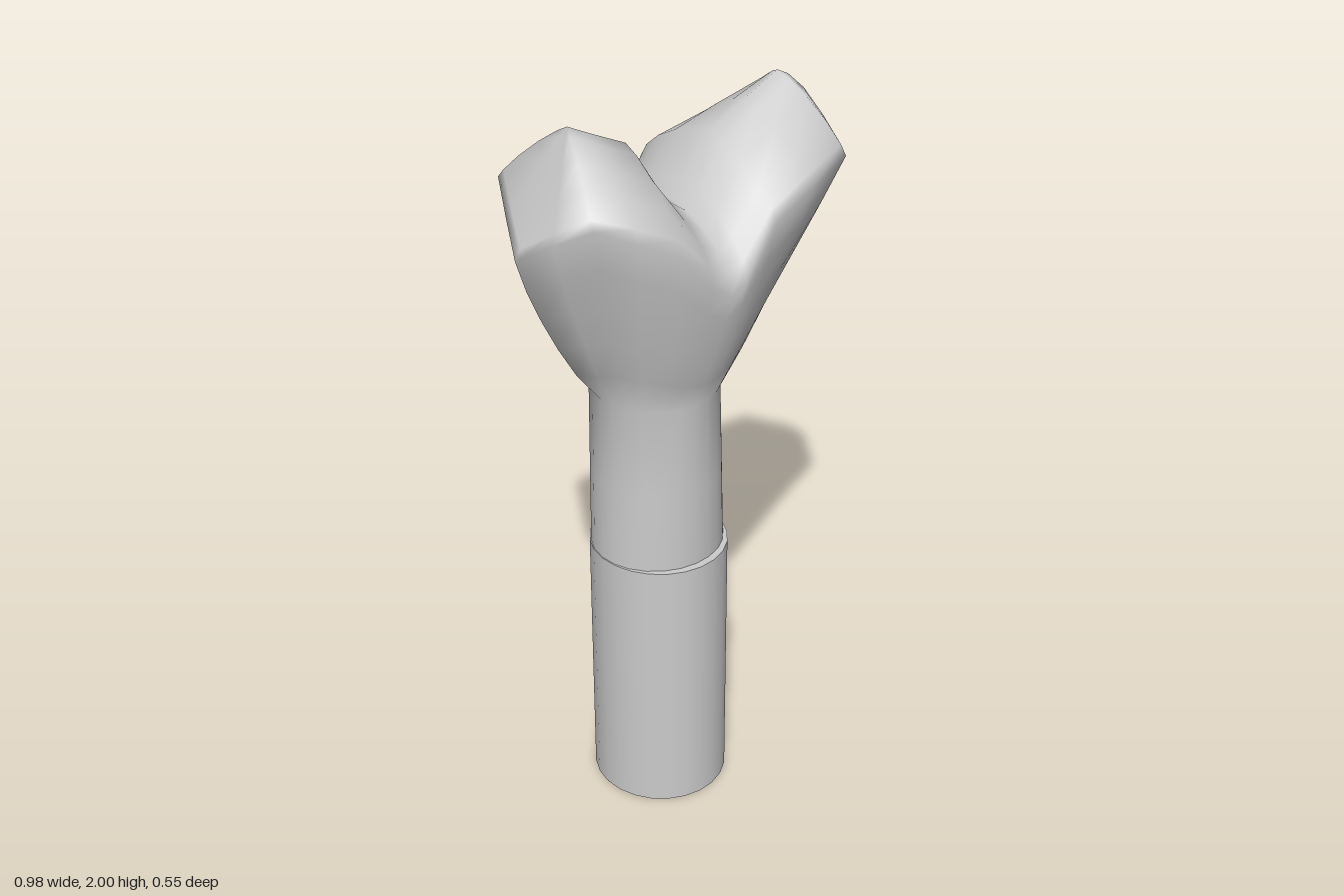
import * as THREE from 'three';
import { mergeVertices } from 'three/addons/utils/BufferGeometryUtils.js';

const material = new THREE.MeshStandardMaterial({ color: 0xcccccc, side: THREE.DoubleSide });

function addMesh(group, name, geometry) {
  const mesh = new THREE.Mesh(geometry, material);
  mesh.name = name;
  group.add(mesh);
  return mesh;
}

// Front columns from right tip to left tip:
// [rim x, rim y, rim z, ridge x, ridge y, crown power, flare power]
const COLUMNS = [
  [-0.488, 1.70, 0, -0.33, 2.0, 1, 1.2],
  [-0.446, 1.765, 0.10, -0.33, 2.0, 1.05, 1.12],
  [-0.40, 1.825, 0.202, -0.33, 2.0, 1.15, 1.03],
  [-0.30, 1.78, 0.24, -0.26, 1.965, 1.35, 1.1],
  [-0.20, 1.73, 0.275, -0.165, 1.92, 1.45, 1.2],
  [-0.10, 1.62, 0.264, -0.10, 1.79, 1.8, 1.15],
  [-0.045, 1.58, 0.262, -0.045, 1.75, 2, 1.1],
  [0.0, 1.61, 0.264, 0.0, 1.78, 1.8, 1.15],
  [0.08, 1.745, 0.273, 0.08, 1.89, 1.45, 1.2],
  [0.22, 1.785, 0.24, 0.19, 1.945, 1.4, 1.1],
  [0.355, 1.825, 0.205, 0.30, 2.0, 1.25, 1.03],
  [0.422, 1.79, 0.10, 0.30, 2.0, 1.35, 1.1],
  [0.488, 1.755, 0, 0.30, 2.0, 1.37, 1.17],
];

// Points of one column, from the shaft up over the rim to the ridge
function columnPoints([rimX, rimY, rimZ, ridgeX, ridgeY, crown, flare], k) {
  const steps = 5;
  const angle = Math.PI * (1 - k / (COLUMNS.length - 1));
  const cos = Math.cos(angle), sin = k % (COLUMNS.length - 1) ? Math.sin(angle) : 0;
  const neckX = -0.085 + 0.17 * cos, neckY = 1.25, neckZ = 0.172 * sin;
  const points = [
    [-0.08 + 0.182 * cos, 0.74, 0.174 * sin],
    [-0.0825 + 0.176 * cos, 1.0, 0.173 * sin],
  ];
  // flare from neck to rim
  for (let i = 0; i <= steps; i++) {
    const v = i / steps;
    const h = (1 - (1 - v) ** flare) ** (1 / flare);
    points.push([neckX + (rimX - neckX) * h, neckY + (rimY - neckY) * v, neckZ + (rimZ - neckZ) * h]);
  }
  // crown from rim to ridge
  for (let i = steps - 1; i >= 0; i--) {
    const a = (i / steps) * Math.PI / 2;
    const s = Math.sin(a) ** (2 / crown), c = Math.cos(a) ** (2 / crown);
    points.push([ridgeX + (rimX - ridgeX) * s, rimY + (ridgeY - rimY) * c, rimZ * s]);
  }
  return points;
}

function forkGeometry() {
  const front = COLUMNS.map(columnPoints);
  const back = front.slice(1, -1).reverse().map((column) => column.map(([x, y, z]) => [x, y, -z]));
  const loop = [...front, ...back];
  const rows = front[0].length, index = [];
  loop.forEach((column, k) => {
    const here = k * rows, next = ((k + 1) % loop.length) * rows;
    for (let j = 0; j < rows - 1; j++) {
      index.push(here + j, next + j, next + j + 1, here + j, next + j + 1, here + j + 1);
    }
  });
  let geometry = new THREE.BufferGeometry();
  geometry.setAttribute('position', new THREE.Float32BufferAttribute(loop.flat(2), 3));
  geometry.setIndex(index);
  geometry = mergeVertices(geometry, 1e-4);
  geometry.computeVertexNormals();
  return geometry;
}

export function createModel() {
  const group = new THREE.Group();
  group.name = 'forkedBone';

  // Lower shaft with closed ends
  const lower = addMesh(group, 'lowerShaft', new THREE.CylinderGeometry(0.185, 0.185, 0.77, 24));
  lower.scale.z = 1.03;
  lower.position.set(-0.079, 0.385, 0.004);

  // Slimmer upper shaft flaring into two lobes with a saddle between them
  addMesh(group, 'forkedUpperShaft', forkGeometry());
  return group;
}
